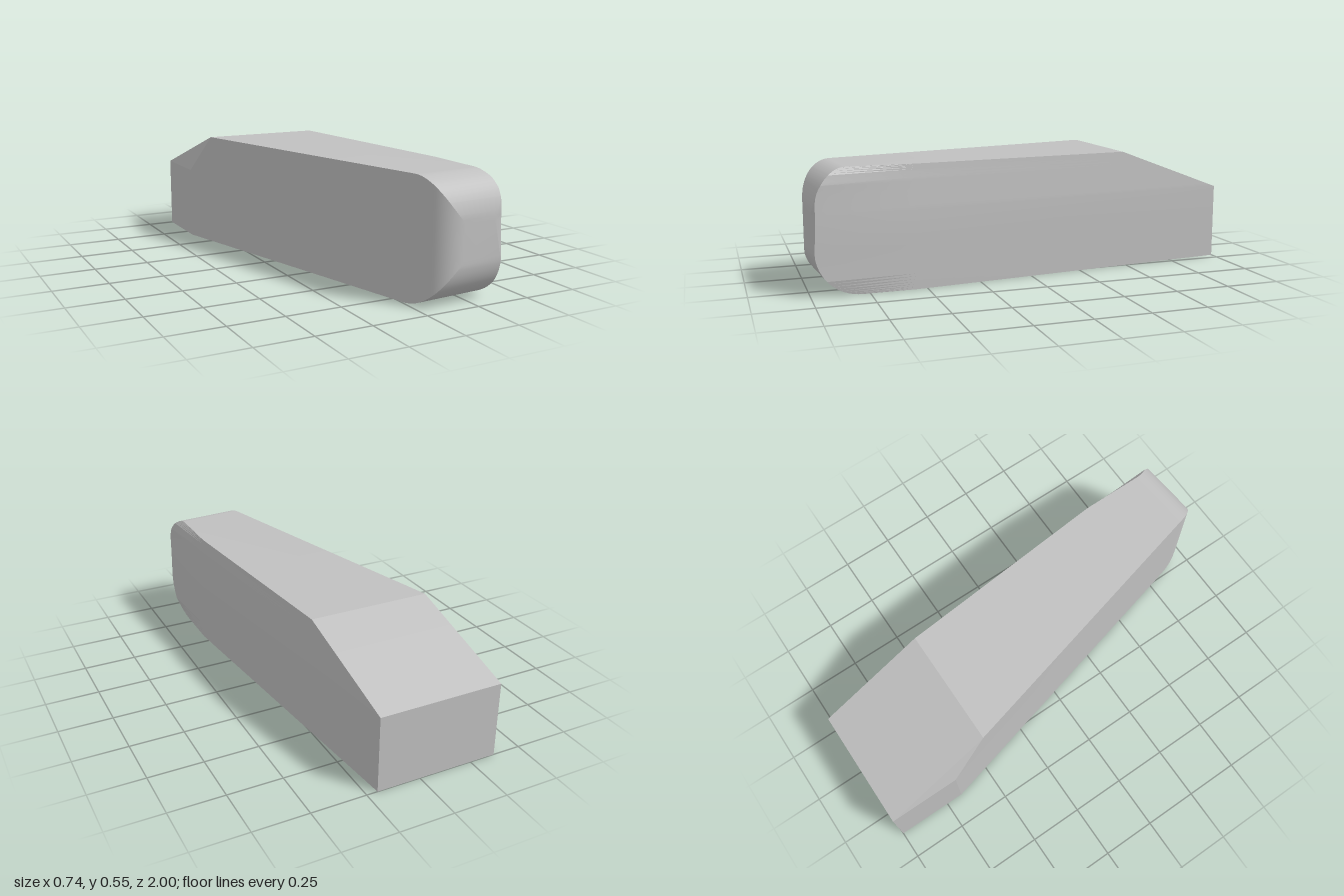
import * as THREE from 'three';
import { toCreasedNormals } from 'three/addons/utils/BufferGeometryUtils.js';

const H = 0.545, KNEE = 0.35, STEPS = 16;

// Piecewise linear lookup in [position, value] pairs
function lerpTable(table, v) {
  for (let i = 1; i < table.length; i++) {
    const [a, p] = table[i - 1], [b, q] = table[i];
    if (v <= b) return p + (q - p) * Math.max(0, (v - a) / (b - a));
  }
  return table[table.length - 1][1];
}

// How far the rounded nose is set back at height y
function setback(y) {
  const low = Math.max(0, (0.2 - y) / 0.2);
  const high = Math.max(0, (y - KNEE) / (H - KNEE));
  return 0.2 * (1 - Math.sqrt(Math.max(0, 1 - low * low)))
    + 0.15 * (1 - Math.sqrt(Math.max(0, 1 - high * high)));
}
const frontZ = (x, y) => 1.0125 - 0.083 * x - setback(y);

// Plan outline of the slanted side (u 0..1) and its rounded front corner (u 1..2)
const corner = new THREE.QuadraticBezierCurve(
  new THREE.Vector2(0.02, 0.865), new THREE.Vector2(0.056, 1.007), new THREE.Vector2(0.17, 0.998));
function outline(u) {
  if (u <= 1) return new THREE.Vector2(-0.325 + 0.345 * u, -0.48 + 1.345 * u);
  return corner.getPoint(u - 1);
}

// Where the slanted outline meets the nose at height y
function clipOutline(y) {
  let a = 0, b = 2;
  for (let i = 0; i < 40; i++) {
    const m = (a + b) / 2, p = outline(m);
    if (p.y < frontZ(p.x, y)) a = m; else b = m;
  }
  return a;
}

// Bevelled right edge of the nose, and the small notch at mid height
const edgeX = [[0, 0.353], [0.07, 0.37], [0.475, 0.367], [0.515, 0.355], [H, 0.33]];
const notch = [[0.17, 0], [0.35, 1], [0.44, 0]];
const sideX = [[0, 0.353], [KNEE, 0.35], [H, 0.33]];

// Horizontal section at height y
function section(y) {
  const s = Math.max(0, (y - KNEE) / (H - KNEE));
  const backZ = -1 + 0.52 * s;
  const ring = [[-0.37 + 0.045 * s, backZ], [-0.37 + 0.045 * s, -0.67 + 0.19 * s]];
  const end = clipOutline(y);
  for (let i = 0; i <= STEPS; i++) {
    const p = outline(Math.min(end, 1 + i / STEPS));
    ring.push([p.x, p.y]);
  }
  const x = lerpTable(edgeX, y), n = lerpTable(notch, y);
  ring.push([x - 0.04 * n, frontZ(x - 0.04 * n, y)]);
  ring.push([x, frontZ(x, y) - 0.01 * n]);
  ring.push([lerpTable(sideX, y), 0.55]);
  ring.push([0.2 + 0.035 * s, backZ]);
  return ring;
}

function bodyGeometry() {
  const levels = [0.07, 0.17, 0.44, 0.475, 0.515];
  for (let i = 0; i <= STEPS; i++) {
    const c = Math.sin((i / STEPS) * Math.PI / 2);
    levels.push(0.2 * (1 - c), KNEE + (H - KNEE) * c);
  }
  levels.sort((a, b) => a - b);

  const positions = [], index = [];
  let count = 0;
  for (const y of levels) {
    const ring = section(y);
    count = ring.length;
    for (const [x, z] of ring) positions.push(x, y, z);
  }
  // Walls between neighbouring sections
  for (let j = 0; j < levels.length - 1; j++) {
    for (let i = 0; i < count; i++) {
      const k = (i + 1) % count, a = j * count, b = a + count;
      index.push(a + i, a + k, b + k, a + i, b + k, b + i);
    }
  }
  // Flat underside and top
  const top = (levels.length - 1) * count;
  for (let i = 1; i < count - 1; i++) {
    index.push(0, i + 1, i, top, top + i, top + i + 1);
  }
  const geometry = new THREE.BufferGeometry();
  geometry.setAttribute('position', new THREE.Float32BufferAttribute(positions, 3));
  geometry.setIndex(index);
  return toCreasedNormals(geometry, 0.16);
}

export function createModel() {
  const grey = new THREE.MeshStandardMaterial({ color: 0xc0c0c0 });
  grey.name = 'light grey';
  const body = new THREE.Mesh(bodyGeometry(), grey);
  body.name = 'taperedBody';
  const model = new THREE.Group();
  model.name = 'roundedWedge';
  model.add(body);
  return model;
}
